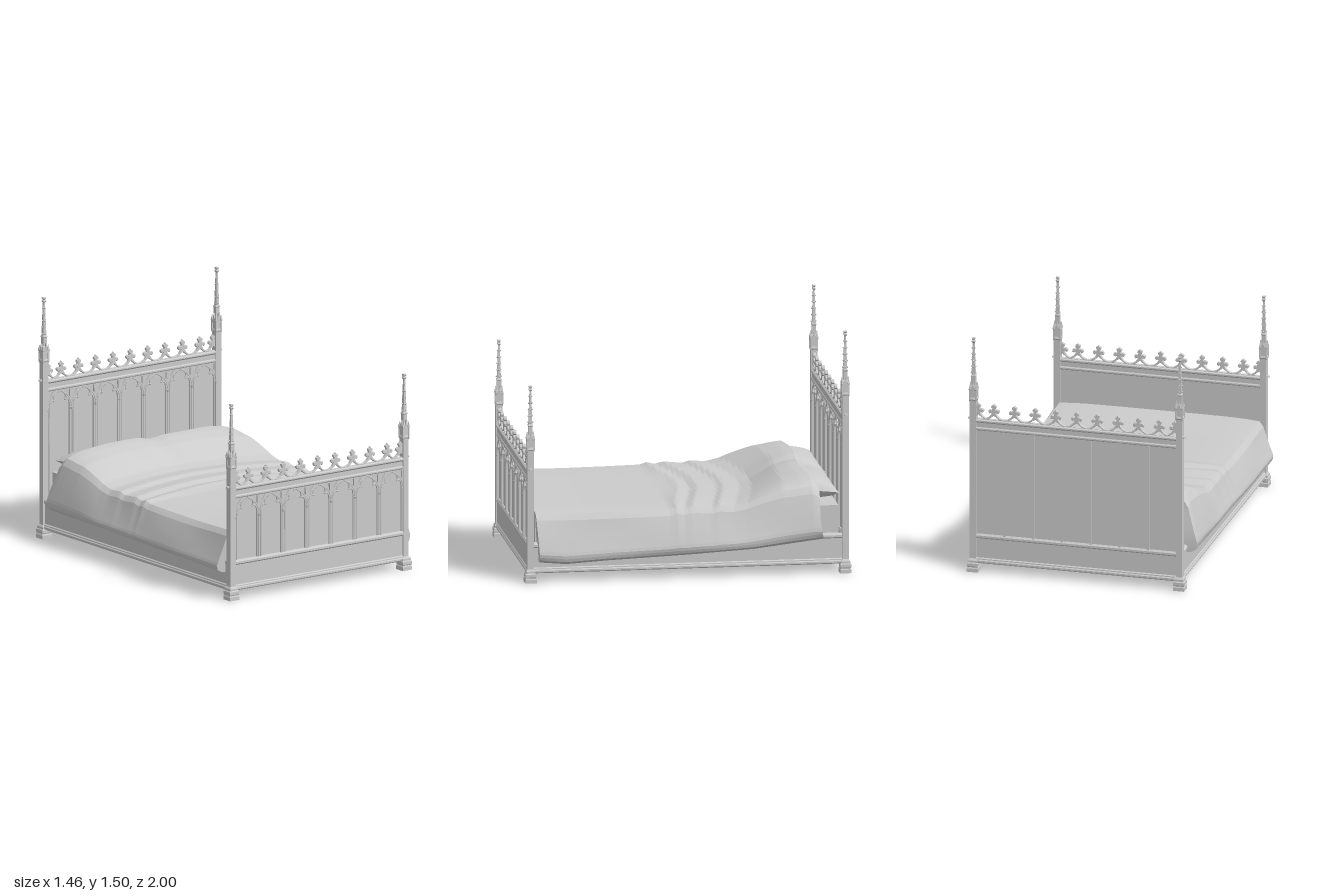
import * as THREE from 'three';
import { ParametricGeometry } from 'three/addons/geometries/ParametricGeometry.js';

const smooth = new THREE.MeshStandardMaterial({ color: 0xcccccc });
const flat = new THREE.MeshStandardMaterial({ color: 0xcccccc, flatShading: true });
const cloth = new THREE.MeshStandardMaterial({ color: 0xcccccc, side: THREE.DoubleSide });

const POST_X = 0.648, POST_Z = 0.965, BAY = 0.1805, BAYS = 7, SILL = 0.245;

function add(parent, name, geo, mat = flat, x = 0, y = 0, z = 0) {
  const m = new THREE.Mesh(geo, mat);
  m.name = name;
  m.position.set(x, y, z);
  parent.add(m);
  return m;
}
const box = (w, h, d) => new THREE.BoxGeometry(w, h, d);

// Square-plan turned form: points are [half width, height]
const squareLathe = (pts) => new THREE.LatheGeometry(
  pts.map(([r, y]) => new THREE.Vector2(r * Math.SQRT2, y)), 4, Math.PI / 4);

// Moulding symmetric about its centre plane, running along x; points are [half depth, height]
function moulding(half, length) {
  const s = new THREE.Shape([
    ...half.map(([d, y]) => new THREE.Vector2(d, y)),
    ...half.slice().reverse().map(([d, y]) => new THREE.Vector2(-d, y))]);
  return new THREE.ExtrudeGeometry(s, { depth: length, bevelEnabled: false })
    .translate(0, 0, -length / 2).rotateY(Math.PI / 2);
}

const lerpTable = (table, t) => {
  let i = 0;
  while (i < table.length - 2 && t > table[i + 1][0]) i++;
  const [a, va] = table[i], [b, vb] = table[i + 1];
  return va + (vb - va) * THREE.MathUtils.clamp((t - a) / (b - a), 0, 1);
};

// Post: stepped foot, square shaft, gabled stage, crocketed spire
function makePost(rise) {
  const g = new THREE.Group();
  const s = 0.82 + rise;
  add(g, 'postShaft', squareLathe([
    [0, 0], [0.035, 0], [0.035, 0.022], [0.031, 0.03], [0.034, 0.036], [0.034, 0.054], [0.029, 0.06],
    [0.029, 0.072], [0.02, 0.085], [0.02, s], [0.024, s + 0.008], [0.019, s + 0.02], [0.019, s + 0.085],
    [0.013, s + 0.1], [0.013, s + 0.15], [0.016, s + 0.155], [0.011, s + 0.165], [0.005, s + 0.365],
    [0.011, s + 0.378], [0.006, s + 0.386], [0.01, s + 0.393], [0.009, s + 0.4], [0, s + 0.4]]));
  const gable = new THREE.Shape();
  gable.moveTo(-0.021, 0);
  gable.lineTo(0.021, 0);
  gable.quadraticCurveTo(0.006, 0.02, 0, 0.06);
  gable.quadraticCurveTo(-0.006, 0.02, -0.021, 0);
  const gableGeo = new THREE.ExtrudeGeometry(gable, { depth: 0.046, bevelEnabled: false, curveSegments: 4 })
    .translate(0, 0, -0.023);
  for (const r of [0, Math.PI / 2]) add(g, 'postGable', gableGeo, flat, 0, s + 0.055).rotation.y = r;
  // corner buttresses with small points
  const buttress = squareLathe([[0.001, 0], [0.005, 0.012], [0.005, 0.075], [0.007, 0.08], [0, 0.115]]);
  for (const x of [-1, 1]) for (const z of [-1, 1])
    add(g, 'cornerButtress', buttress, flat, x * 0.019, s - 0.008, z * 0.019);
  // crockets climbing the spire
  const crocket = new THREE.OctahedronGeometry(0.0065);
  for (let i = 0; i < 5; i++) for (let k = 0; k < 4; k++) {
    const r = 0.0135 - i * 0.0014, a = k * Math.PI / 2;
    add(g, 'crocket', crocket, flat, r * Math.cos(a), s + 0.175 + i * 0.04, r * Math.sin(a));
  }
  return g;
}

// Crest unit: two swept legs with an open eye, carrying a three-lobed leaf
function crestGeometry() {
  const half = [[0.065, -0.004], [0.065, 0.004], [0.045, 0.008], [0.026, 0.02], [0.012, 0.042], [0.018, 0.045],
    [0.026, 0.04], [0.035, 0.048], [0.034, 0.06], [0.024, 0.066], [0.012, 0.064], [0.009, 0.072],
    [0.017, 0.08], [0.015, 0.09], [0.006, 0.094], [0, 0.102]];
  const v = (sx) => ([x, y]) => new THREE.Vector2(sx * x, y);
  const s = new THREE.Shape([...half.map(v(1)), ...half.slice(0, -1).reverse().map(v(-1))]);
  s.holes.push(new THREE.Path([[-0.034, 0.002], [0, 0.027], [0.034, 0.002]].map(v(1))));
  return new THREE.ExtrudeGeometry(s, {
    depth: 0.014, bevelThickness: 0.003, bevelSize: 0.002, bevelOffset: -0.002, bevelSegments: 1 })
    .translate(0, 0, -0.007);
}

// Trefoil-headed opening, traced from the left jamb to the right jamb
function traceOpening(path, top) {
  const w = 0.077, s = top - 0.11;
  path.lineTo(-w, s);
  path.bezierCurveTo(-w, s + 0.03, -0.065, s + 0.05, -0.043, s + 0.043);
  path.bezierCurveTo(-0.062, s + 0.075, -0.025, s + 0.09, 0, s + 0.102);
  path.bezierCurveTo(0.025, s + 0.09, 0.062, s + 0.075, 0.043, s + 0.043);
  path.bezierCurveTo(0.065, s + 0.05, w, s + 0.03, w, s);
  path.lineTo(w, SILL);
}

function bayGeometries(top) {
  const b = BAY / 2, w = 0.077;
  const plate = new THREE.Shape();
  plate.moveTo(-b, SILL);
  plate.lineTo(-w, SILL);
  traceOpening(plate, top);
  plate.lineTo(b, SILL);
  plate.lineTo(b, top);
  plate.lineTo(-b, top);
  for (const m of [-1, 1]) plate.holes.push(new THREE.Path(
    [[0.042, -0.01], [0.08, -0.01], [0.081, -0.058], [0.064, -0.042]]
      .map(([x, y]) => new THREE.Vector2(m * x, top + y))));
  const line = new THREE.Path();
  line.moveTo(-w, SILL);
  traceOpening(line, top);
  const hood = new THREE.Path();
  hood.moveTo(-b, top - 0.13);
  hood.bezierCurveTo(-b, top - 0.06, -0.05, top - 0.03, 0, top - 0.003);
  hood.bezierCurveTo(0.05, top - 0.03, b, top - 0.06, b, top - 0.13);
  const tube = (p, n, r) => new THREE.TubeGeometry(new THREE.CatmullRomCurve3(
    p.getPoints(7).map((q) => new THREE.Vector3(q.x, q.y, 0)), false, 'centripetal'), n, r, 5);
  return {
    plate: new THREE.ExtrudeGeometry(plate, { depth: 0.011, bevelEnabled: false, curveSegments: 7 }),
    edge: tube(line, 90, 0.004), hood: tube(hood, 24, 0.003) };
}

const lowerRail = [[0.02, 0.058], [0.024, 0.064], [0.024, 0.074], [0.019, 0.08], [0.019, 0.086], [0.013, 0.092],
  [0.013, 0.215], [0.019, 0.222], [0.019, 0.234], [0.01, SILL]];

// End board: lower rail, panel, arcade, top rail and crest
function makeEndBoard(rise, hasBackFrame) {
  const g = new THREE.Group(), top = 0.635 + rise, width = POST_X * 2 - 0.02;
  add(g, 'lowerRail', moulding(lowerRail, width));
  add(g, 'boardPanel', box(width, top - 0.2, 0.013), flat, 0, (top + 0.2) / 2, -0.0035);
  add(g, 'topRail', moulding([[0.015, top - 0.004], [0.019, top + 0.002], [0.019, top + 0.01], [0.013, top + 0.017],
    [0.013, top + 0.045], [0.02, top + 0.053], [0.02, top + 0.061], [0.012, top + 0.067]], width));
  const bay = bayGeometries(top);
  const cusp = new THREE.SphereGeometry(0.006, 8, 6);
  const shaft = new THREE.CylinderGeometry(0.0055, 0.0055, top - 0.13 - SILL, 8);
  const capital = new THREE.CylinderGeometry(0.01, 0.006, 0.014, 8);
  for (let i = 0; i < BAYS; i++) {
    const x = (i - (BAYS - 1) / 2) * BAY;
    add(g, 'archTracery', bay.plate, flat, x, 0, 0.003);
    add(g, 'archMoulding', bay.edge, smooth, x, 0, 0.014);
    add(g, 'archHood', bay.hood, smooth, x, 0, 0.014);
    for (const m of [-1, 1]) add(g, 'archCusp', cusp, smooth, x + m * 0.042, top - 0.068, 0.013);
  }
  for (let i = 0; i <= BAYS; i++) {
    const x = (i - BAYS / 2) * BAY;
    add(g, 'arcadeShaft', shaft, smooth, x, (top - 0.13 + SILL) / 2, 0.013);
    add(g, 'arcadeCapital', capital, smooth, x, top - 0.13, 0.013);
    if (hasBackFrame)
      add(g, 'backStile', box(0.014, top - SILL + 0.01, 0.008), flat, x, (top + SILL) / 2, -0.013);
  }
  const crest = crestGeometry();
  for (let i = -5; i <= 5; i++)
    add(g, 'crestLeaf', crest, flat, THREE.MathUtils.clamp(i * 0.13, -0.618, 0.618), top + 0.068);
  return g;
}

// Draped cover: a sheet over the bed with bulging sides and rows of folds
function coverGeometry() {
  const ridge = [[-0.8, 0.55], [-0.76, 0.582], [-0.7, 0.575], [-0.6, 0.55], [-0.5, 0.5], [-0.42, 0.46], [-0.34, 0.442],
    [-0.24, 0.45], [-0.2, 0.436], [-0.08, 0.449], [-0.03, 0.434], [0.04, 0.449], [0.1, 0.434], [0.3, 0.43],
    [0.6, 0.427], [0.93, 0.434]];
  const hemR = [[-0.8, 0.215], [-0.4, 0.17], [0, 0.148], [0.5, 0.128], [0.75, 0.113], [0.93, 0.13]];
  const hemL = [[-0.8, 0.2], [0, 0.185], [0.93, 0.165]];
  const flare = [[0, 0.63], [0.12, 0.657], [0.5, 0.695], [0.8, 0.724], [0.93, 0.718], [1, 0.68]];
  const rows = 80;
  return new ParametricGeometry((u, v, p) => {
    const a = u * 2 - 1, side = Math.sign(a), s = Math.abs(a), row = Math.round(v * rows);
    const z = 0.93 - 1.73 * THREE.MathUtils.clamp((row - 1) / (rows - 2), 0, 1);
    const isEnd = row === 0 || row === rows;
    const head = THREE.MathUtils.smoothstep(-z, 0.35, 0.75);
    const folds = THREE.MathUtils.smoothstep(-z, -0.12, 0) * (1 - head);
    const f = Math.min(s / 0.6, 1), t = Math.max(0, (s - 0.6) / 0.4);
    const bow = folds * 0.06 * Math.cos(a * 4);
    const crown = lerpTable(ridge, z + bow) - (0.012 + 0.035 * head) * f ** 6
      - head * 0.015 * Math.exp(-((f / 0.1) ** 2));
    let x = f * 0.63;
    if (t > 0) {
      x = lerpTable(flare, t) + t * (1 - t) * 0.03 * Math.sin(z * 7 + side);
      x -= t * 0.02 * head * (side > 0 ? 1 : 0);
    }
    if (isEnd) x = Math.min(x, 0.6);
    const hem = lerpTable(side > 0 ? hemR : hemL, z);
    const y = crown + (hem - crown) * t - (isEnd ? 0.02 * (1 - t) : 0);
    const slip = z < 0 ? -0.035 * head * t + 0.012 * head * Math.sin(a * 9) : -0.015 * t * (z > 0.9 ? 1 : 0);
    p.set(side * x, y, z + slip);
  }, 80, rows);
}

// Pillow: a box swollen in the middle with pinched edges
function pillowGeometry() {
  const g = new THREE.BoxGeometry(2, 2, 2, 24, 2, 16), p = g.attributes.position;
  for (let i = 0; i < p.count; i++) {
    const x = p.getX(i), y = p.getY(i), z = p.getZ(i);
    const puff = ((1 - x * x) * (1 - z * z)) ** 0.4;
    p.setXYZ(i, x * 0.28 * (1 - 0.09 * (1 - z * z)), y * 0.075 * puff + 0.012 * z,
      z * 0.18 * (1 - 0.07 * (1 - x * x)));
  }
  g.computeVertexNormals();
  return g;
}

export function createModel() {
  const bed = new THREE.Group();
  bed.name = 'bed';

  // end boards and posts
  for (const [name, dir, rise] of [['footboard', 1, 0], ['headboard', -1, 0.28]]) {
    const board = makeEndBoard(rise, dir < 0);
    board.name = name;
    board.position.z = dir * POST_Z;
    bed.add(board);
    for (const m of [-1, 1]) {
      const post = makePost(rise);
      post.name = name + 'Post';
      post.position.set(m * POST_X, 0, dir * POST_Z);
      bed.add(post);
    }
  }

  // side rails and base
  for (const m of [-1, 1])
    add(bed, 'sideRail', moulding(lowerRail, POST_Z * 2 - 0.02), flat, m * (POST_X - 0.005)).rotation.y = Math.PI / 2;
  add(bed, 'basePlate', box(POST_X * 2 - 0.02, 0.02, POST_Z * 2 - 0.02), flat, 0, 0.069, 0);

  // bedding
  add(bed, 'mattress', box(1.22, 0.33, 1.86), flat, 0, 0.245, 0);
  for (const m of [-1, 1]) add(bed, 'pillow', pillowGeometry(), smooth, m * 0.287 - 0.01, 0.487, -0.762);
  add(bed, 'cover', coverGeometry(), cloth);
  return bed;
}
